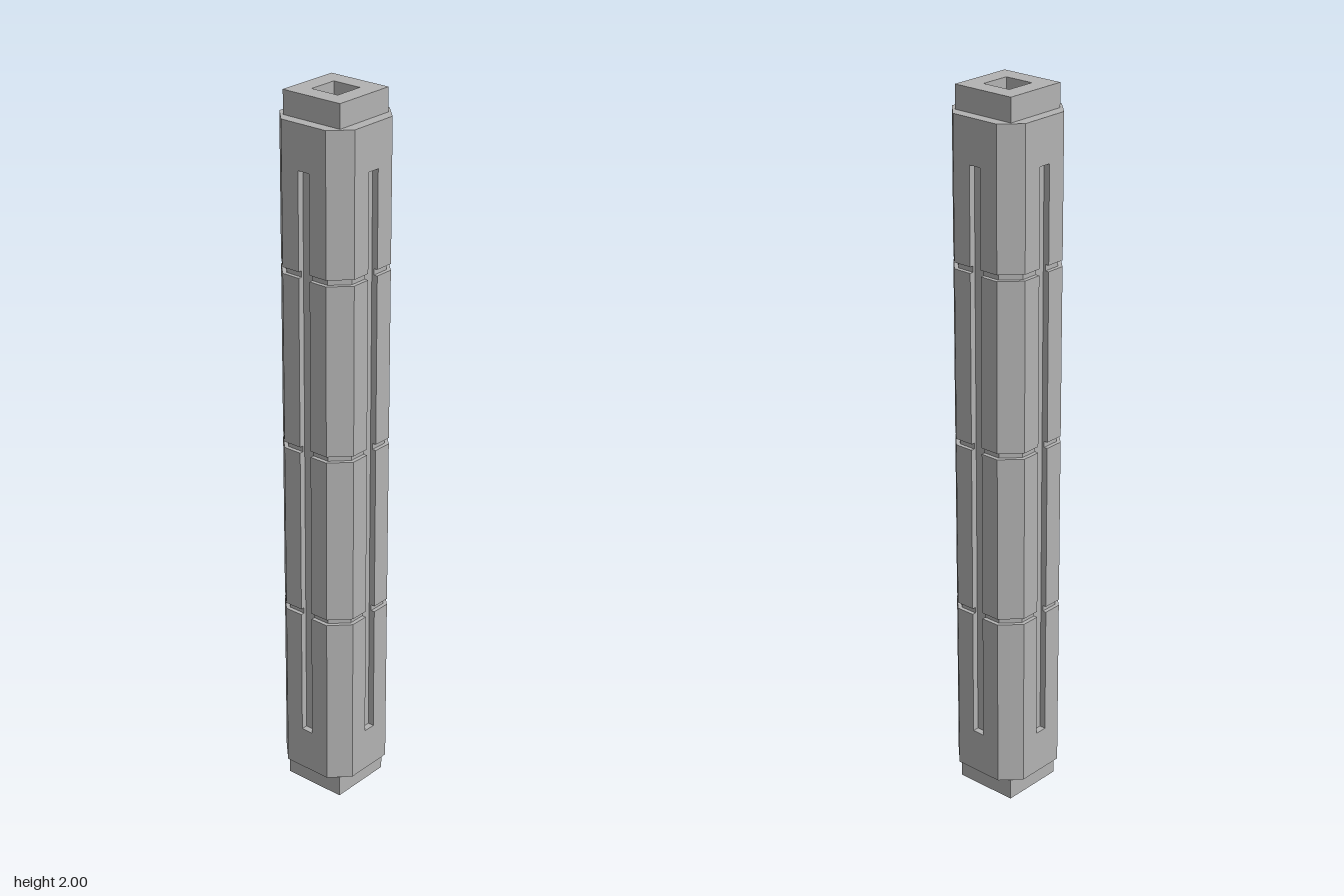
import * as THREE from 'three';

const HOLE = 0.042;       // half width of the square bore
const HALF = 0.122;       // half width across the flats
const FLAT = 0.072;       // half width of each main face
const SLOT = 0.018;       // half width of the long slots
const SLOT_FLOOR = 0.104; // distance of the slot floor from the axis

// Repeat one side's points around the four sides
function fourSided(side) {
  const points = [];
  for (let i = 0; i < 4; i++) {
    for (const [x, y] of side) {
      points.push(new THREE.Vector2(x, y).rotateAround(new THREE.Vector2(), i * Math.PI / 2));
    }
  }
  return points;
}

function octagon(half, flat, slotted) {
  const slot = slotted
    ? [[half, -SLOT], [SLOT_FLOOR, -SLOT], [SLOT_FLOOR, SLOT], [half, SLOT]]
    : [];
  return fourSided([[half, -flat], ...slot, [half, flat]]);
}

export function createModel() {
  const model = new THREE.Group();
  model.name = 'slottedColumn';
  const grey = new THREE.MeshStandardMaterial({ color: 0xb3b3b3 });
  grey.name = 'grey';

  // Hollow slab of the given outline between two heights
  function layer(name, outline, y0, y1) {
    const shape = new THREE.Shape(outline);
    shape.holes.push(new THREE.Path(fourSided([[HOLE, HOLE]]).reverse()));
    const geometry = new THREE.ExtrudeGeometry(shape, { depth: y1 - y0, bevelEnabled: false });
    geometry.rotateX(-Math.PI / 2);
    geometry.translate(0, y0, 0);
    const mesh = new THREE.Mesh(geometry, grey);
    mesh.name = name;
    model.add(mesh);
  }

  const collar = fourSided([[0.092, 0.092]]);
  const plain = octagon(HALF, FLAT, false);
  const slotted = octagon(HALF, FLAT, true);
  const groove = octagon(HALF - 0.011, FLAT - 0.004, true);

  // Square collars and the unslotted ends of the body
  layer('bottomCollar', collar, 0, 0.066);
  layer('bottomEnd', plain, 0.066, 0.19);
  layer('topEnd', plain, 1.815, 1.936);
  layer('topCollar', collar, 1.936, 2);

  // Slotted body sections separated by shallow ring grooves
  let y = 0.19;
  for (const [low, high] of [[0.556, 0.573], [1.043, 1.06], [1.532, 1.549]]) {
    layer('bodySection', slotted, y, low);
    layer('ringGroove', groove, low, high);
    y = high;
  }
  layer('bodySection', slotted, y, 1.815);

  return model;
}
